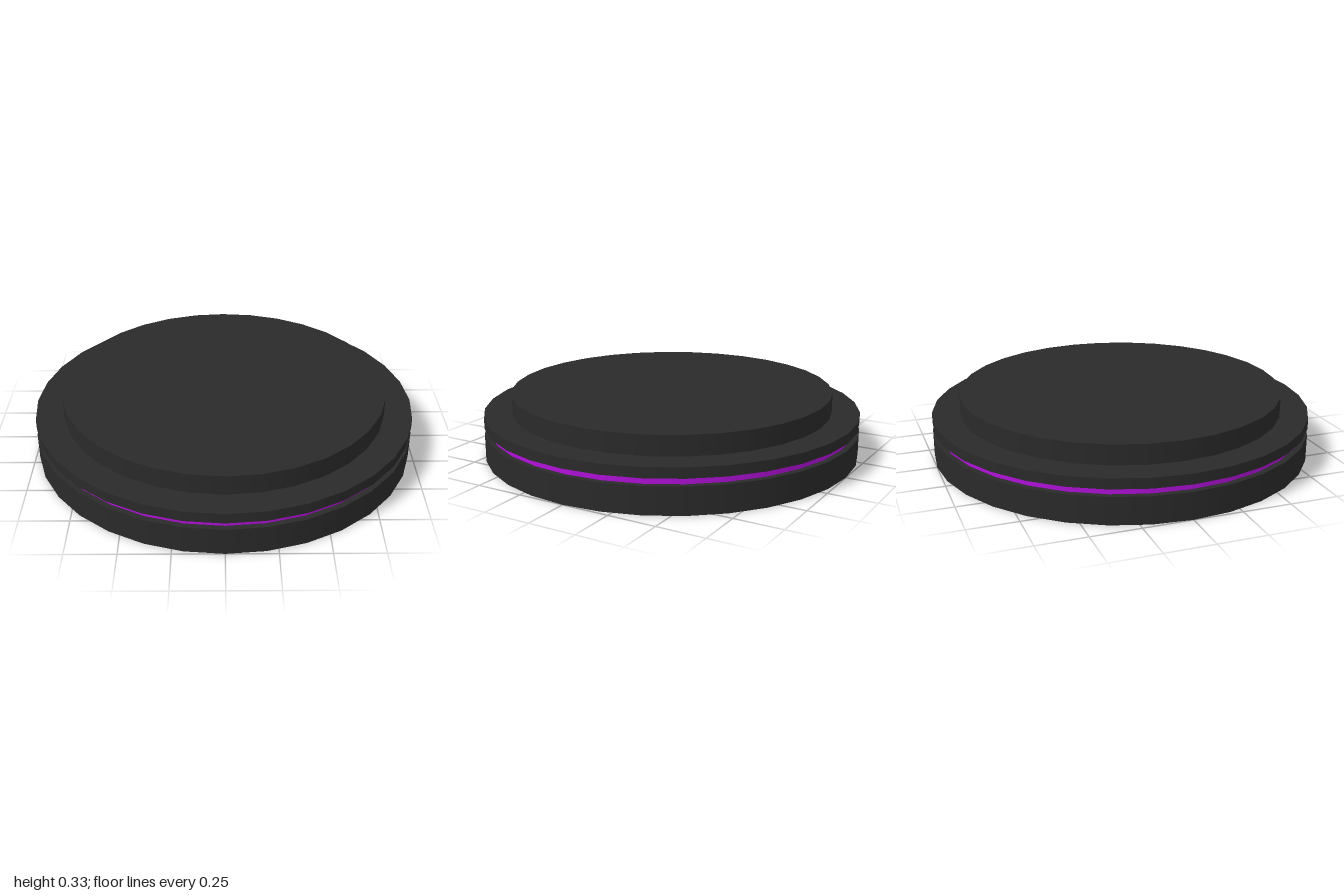
import * as THREE from 'three';

const SIDES = 32;

export function createModel() {
  const group = new THREE.Group();
  const dark = new THREE.MeshStandardMaterial({ color: 0x2a2a2a });
  const purple = new THREE.MeshStandardMaterial({ color: 0xb010d8 });

  // A smooth-sided disc between two heights
  function disc(name, radius, y0, y1, material) {
    const mesh = new THREE.Mesh(new THREE.CylinderGeometry(radius, radius, y1 - y0, SIDES), material);
    mesh.name = name;
    mesh.position.y = (y0 + y1) / 2;
    group.add(mesh);
  }

  disc('base', 1, 0, 0.14, dark);
  disc('glowRing', 0.97, 0.14, 0.177, purple); // recessed coloured band
  disc('upperRim', 1, 0.177, 0.23, dark);
  disc('topPlate', 0.853, 0.23, 0.333, dark);

  return group;
}
